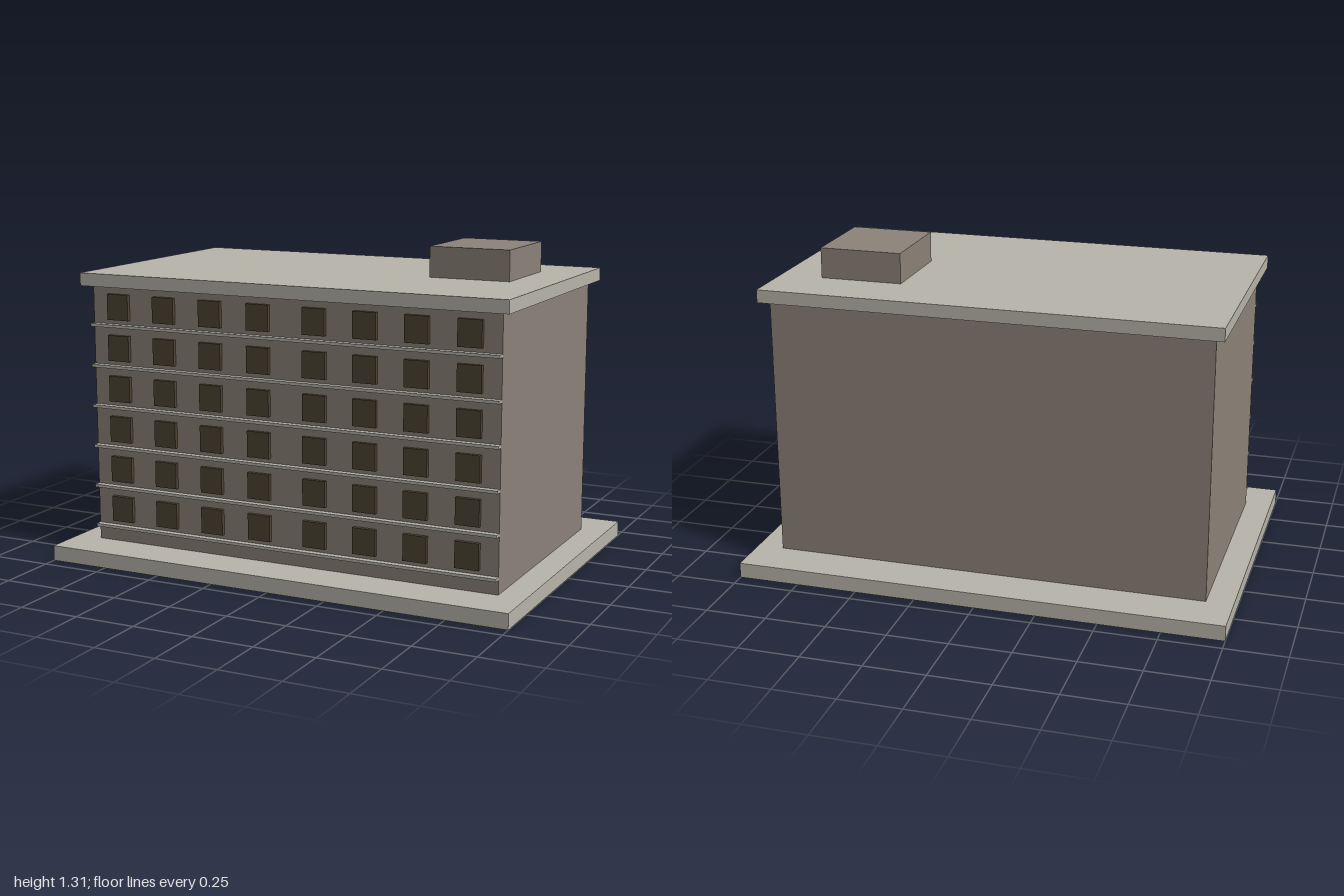
import * as THREE from 'three';

export function createModel() {
  const building = new THREE.Group();
  building.name = 'apartmentBlock';

  const mat = (name, color) => {
    const m = new THREE.MeshStandardMaterial({ color });
    m.name = name;
    return m;
  };
  const concrete = mat('paleConcrete', 0xb9b5ab);
  const wall = mat('brownWall', 0x8d8379);
  const glass = mat('darkWindow', 0x4e4534);

  // Box given by its extents along each axis
  const box = (name, material, [x0, x1], [y0, y1], [z0, z1], parent = building) => {
    const mesh = new THREE.Mesh(new THREE.BoxGeometry(x1 - x0, y1 - y0, z1 - z0), material);
    mesh.position.set((x0 + x1) / 2, (y0 + y1) / 2, (z0 + z1) / 2);
    mesh.name = name;
    parent.add(mesh);
  };

  // Main masses
  const front = 0.506;
  box('basePlinth', concrete, [-1, 1], [0, 0.063], [-0.691, 0.691]);
  box('mainBody', wall, [-0.891, 0.891], [0.063, 1.135], [-front, front]);
  box('roofSlab', concrete, [-0.928, 0.928], [1.135, 1.188], [-0.546, 0.546]);
  box('roofPlantRoom', wall, [0.412, 0.75], [1.188, 1.312], [-0.308, 0.063]);

  // Six storeys, each with a sill ledge and eight windows in two mirrored sets
  const columns = [0.123, 0.339, 0.553, 0.767];
  const halfWidth = 0.049, halfHeight = 0.053, pitch = 0.1695;
  for (let i = 0; i < 6; i++) {
    const storey = new THREE.Group();
    storey.name = `storey${i + 1}`;
    building.add(storey);

    const ledgeY = 0.127 + i * pitch;
    box('ledge', concrete, [-0.891, 0.891], [ledgeY - 0.006, ledgeY + 0.006], [front, 0.534], storey);

    const windowY = 0.204 + i * pitch;
    for (const side of [-1, 1]) {
      for (const column of columns) {
        const x = side * column;
        box('window', glass, [x - halfWidth, x + halfWidth],
          [windowY - halfHeight, windowY + halfHeight], [front, 0.523], storey);
      }
    }
  }

  return building;
}
